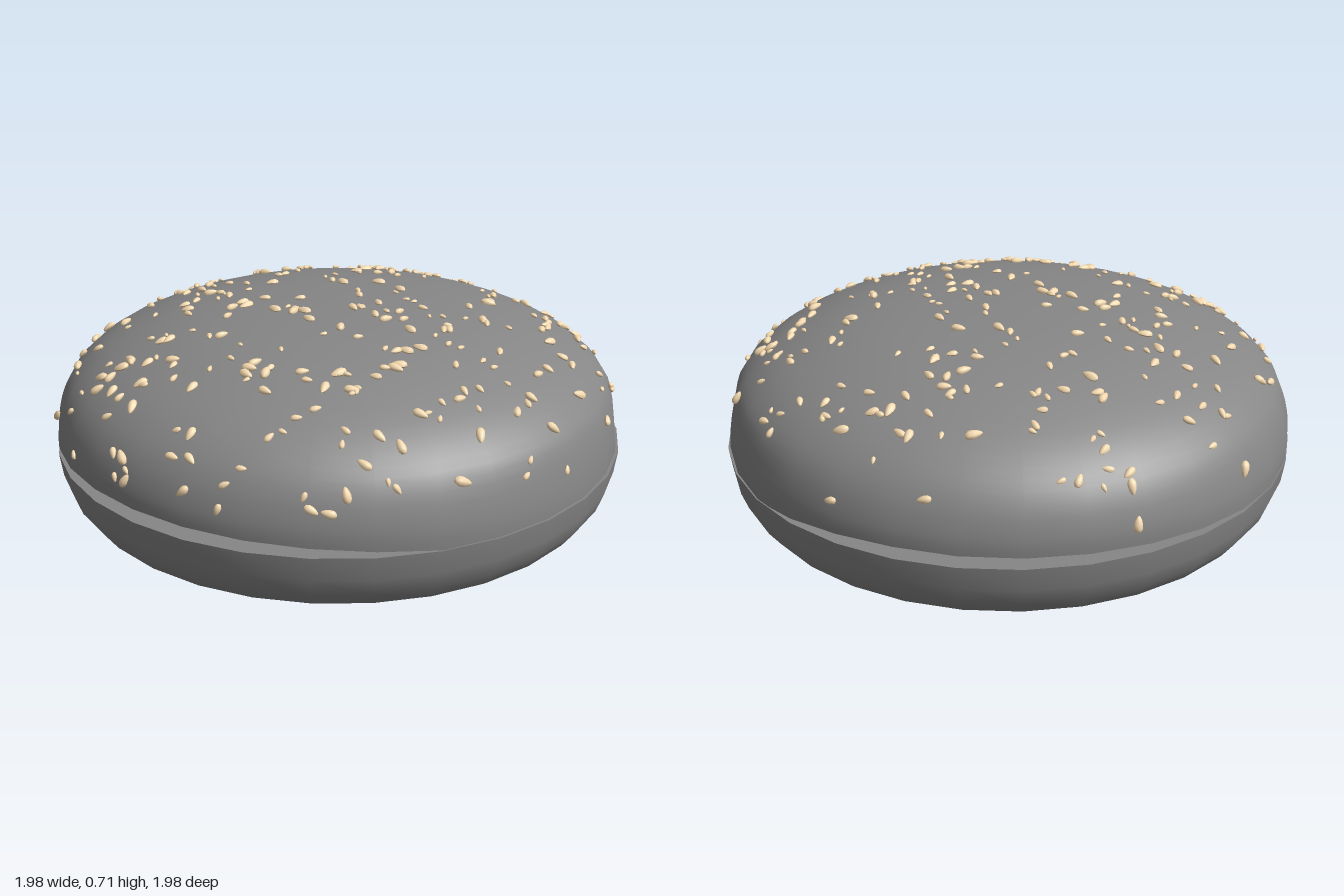
import * as THREE from 'three';
import { mergeGeometries, mergeVertices } from 'three/addons/utils/BufferGeometryUtils.js';

const SIDES = 32;
const SEAM = 0.25;

// Height offset of the crown's lower rim, every 22.5 degrees from +x towards +z
const RIM = [-0.045, -0.008, 0.025, 0.04, 0.043, 0.03, -0.003, -0.006,
  0.015, 0.032, 0.037, 0.037, 0.004, -0.045, -0.065, -0.068];

function rimOffset(angle) {
  const n = RIM.length;
  const t = ((angle / (2 * Math.PI)) % 1 + 1) % 1 * n;
  const i = Math.floor(t), f = t - i;
  const [a, b, c, d] = [i + n - 1, i, i + 1, i + 2].map((k) => RIM[k % n]);
  return b + 0.5 * f * (c - a + f * (2 * a - 5 * b + 4 * c - d + f * (3 * (b - c) + d - a)));
}

const points = (list) => list.map(([r, y]) => new THREE.Vector2(r, y));

// Turned surface whose vertices can be shifted by a rule, with seamless normals
function turned(profile, rule) {
  let geo = new THREE.LatheGeometry(profile, SIDES, Math.PI / SIDES);
  geo.deleteAttribute('normal');
  geo.deleteAttribute('uv');
  const p = geo.attributes.position;
  const v = new THREE.Vector3();
  for (let i = 0; rule && i < p.count; i++) {
    rule(v.fromBufferAttribute(p, i));
    p.setXYZ(i, v.x, v.y, v.z);
  }
  geo = mergeVertices(geo, 1e-5);
  geo.computeVertexNormals();
  return geo;
}

// Lifts and drops the crown's rim, fading out upwards and towards the centre
function waveRim(v) {
  const r = Math.hypot(v.x, v.z);
  const up = THREE.MathUtils.clamp(1 - (v.y - SEAM) / 0.2, 0, 1);
  const d = rimOffset(Math.atan2(v.z, v.x)) * up * Math.min(1, r / 0.9) ** 4;
  const tuck = 1 + 0.13 * Math.min(d, 0);
  v.set(v.x * tuck, v.y + d, v.z * tuck);
}

function seededRandom(seed) {
  return () => {
    seed = (seed * 1664525 + 1013904223) % 4294967296;
    return seed / 4294967296;
  };
}

export function createModel() {
  const group = new THREE.Group();
  const bread = new THREE.MeshStandardMaterial({ color: 0x868686 });
  const seedColor = new THREE.MeshStandardMaterial({ color: 0xf6dab0 });
  const add = (name, geo, material) => {
    const mesh = new THREE.Mesh(geo, material);
    mesh.name = name;
    group.add(mesh);
  };

  // Lower half: rounded base with a flat cut face
  const base = points([[0, 0], [0.4, 0.002], [0.79, 0.006], [0.87, 0.022], [0.925, 0.057],
    [0.963, 0.11], [0.984, 0.17], [0.994, SEAM]]);
  add('bottomBun', turned(base), bread);
  add('bottomCutFace', turned(points([[0.994, SEAM], [0.5, SEAM], [0, SEAM]])), bread);

  // Upper half: dome with a wavy lower rim and a hollowed underside
  const dome = new THREE.SplineCurve(points([[0.991, SEAM], [0.988, 0.32], [0.96, 0.42], [0.908, 0.495],
    [0.795, 0.572], [0.6, 0.642], [0.4, 0.678], [0.2, 0.693], [0, 0.698]]));
  add('topBun', turned(dome.getPoints(24), waveRim), bread);
  add('topCutFace', turned(points([[0, 0.3], [0.5, 0.3], [0.85, 0.3], [0.95, 0.295], [0.991, SEAM]]), waveRim), bread);

  // One seed: a flattened teardrop
  const seed = new THREE.SphereGeometry(1, 8, 6);
  const sp = seed.attributes.position;
  for (let i = 0; i < sp.count; i++) {
    const taper = 1 - 0.3 * sp.getY(i);
    sp.setXYZ(i, sp.getX(i) * taper, sp.getY(i), sp.getZ(i) * taper);
  }
  seed.computeVertexNormals();

  // Seeds scattered over the dome, slightly denser towards the sides
  const rand = seededRandom(7);
  const outline = dome.getPoints(200);
  const seeds = [];
  const up = new THREE.Vector3(0, 0, 1);
  for (let i = 0; i < 300; i++) {
    const r = 0.986 * rand() ** 0.46;
    const angle = rand() * 2 * Math.PI;
    const k = Math.max(1, outline.findIndex((q) => q.x <= r && q.y > 0.31));
    const a = outline[k - 1], b = outline[Math.min(k + 1, 200)];
    const normal = new THREE.Vector3((b.y - a.y) * Math.cos(angle), a.x - b.x, (b.y - a.y) * Math.sin(angle)).normalize();
    const place = new THREE.Vector3(outline[k].x * Math.cos(angle), outline[k].y, outline[k].x * Math.sin(angle));
    place.addScaledVector(normal, 0.004);
    const turn = new THREE.Quaternion().setFromUnitVectors(up, normal)
      .multiply(new THREE.Quaternion().setFromAxisAngle(up, rand() * 2 * Math.PI));
    const size = 0.55 + 0.7 * rand();
    const scale = new THREE.Vector3(0.012 * size, 0.022 * size, 0.011 * size);
    seeds.push(seed.clone().applyMatrix4(new THREE.Matrix4().compose(place, turn, scale)));
  }
  add('sesameSeeds', mergeGeometries(seeds), seedColor);

  return group;
}
